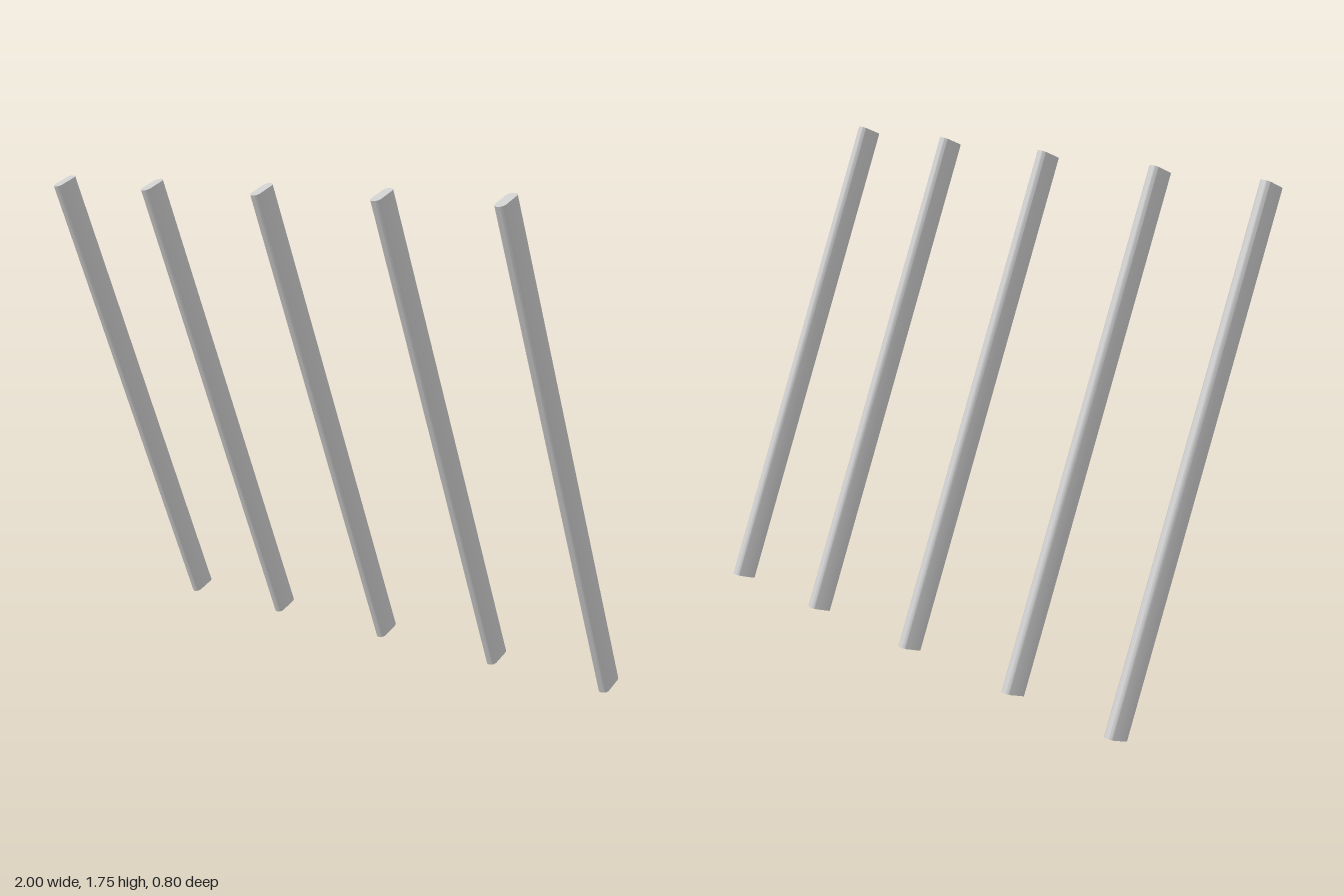
import * as THREE from 'three';
import { toCreasedNormals } from 'three/addons/utils/BufferGeometryUtils.js';

const THICKNESS = 0.04, DEPTH = 0.1, LENGTH = 1.853, HEIGHT = 1.751;
const LEAN = THREE.MathUtils.degToRad(22.4);

// Flat bar section with fully rounded front and back edges
function slatGeometry() {
  const r = THICKNESS / 2, h = DEPTH / 2 - r;
  const section = new THREE.Shape();
  section.moveTo(r, -h);
  section.lineTo(r, h);
  section.absarc(0, h, r, 0, Math.PI, false);
  section.lineTo(-r, -h);
  section.absarc(0, -h, r, Math.PI, 2 * Math.PI, false);
  const geometry = new THREE.ExtrudeGeometry(section, { depth: LENGTH, bevelEnabled: false, curveSegments: 8 });
  geometry.translate(0, 0, -LENGTH / 2);
  geometry.rotateX(LEAN - Math.PI / 2);
  return toCreasedNormals(geometry, 0.6);
}

export function createModel() {
  const group = new THREE.Group();
  group.name = 'leaningSlats';
  const material = new THREE.MeshStandardMaterial({ color: 0xcccccc });
  const geometry = slatGeometry();

  // Five parallel slats, tops leaning toward the front
  [-0.98, -0.52, 0, 0.51, 0.98].forEach((x, i) => {
    const slat = new THREE.Mesh(geometry, material);
    slat.name = `slat${i + 1}`;
    slat.position.set(x, HEIGHT / 2, 0);
    group.add(slat);
  });
  return group;
}
